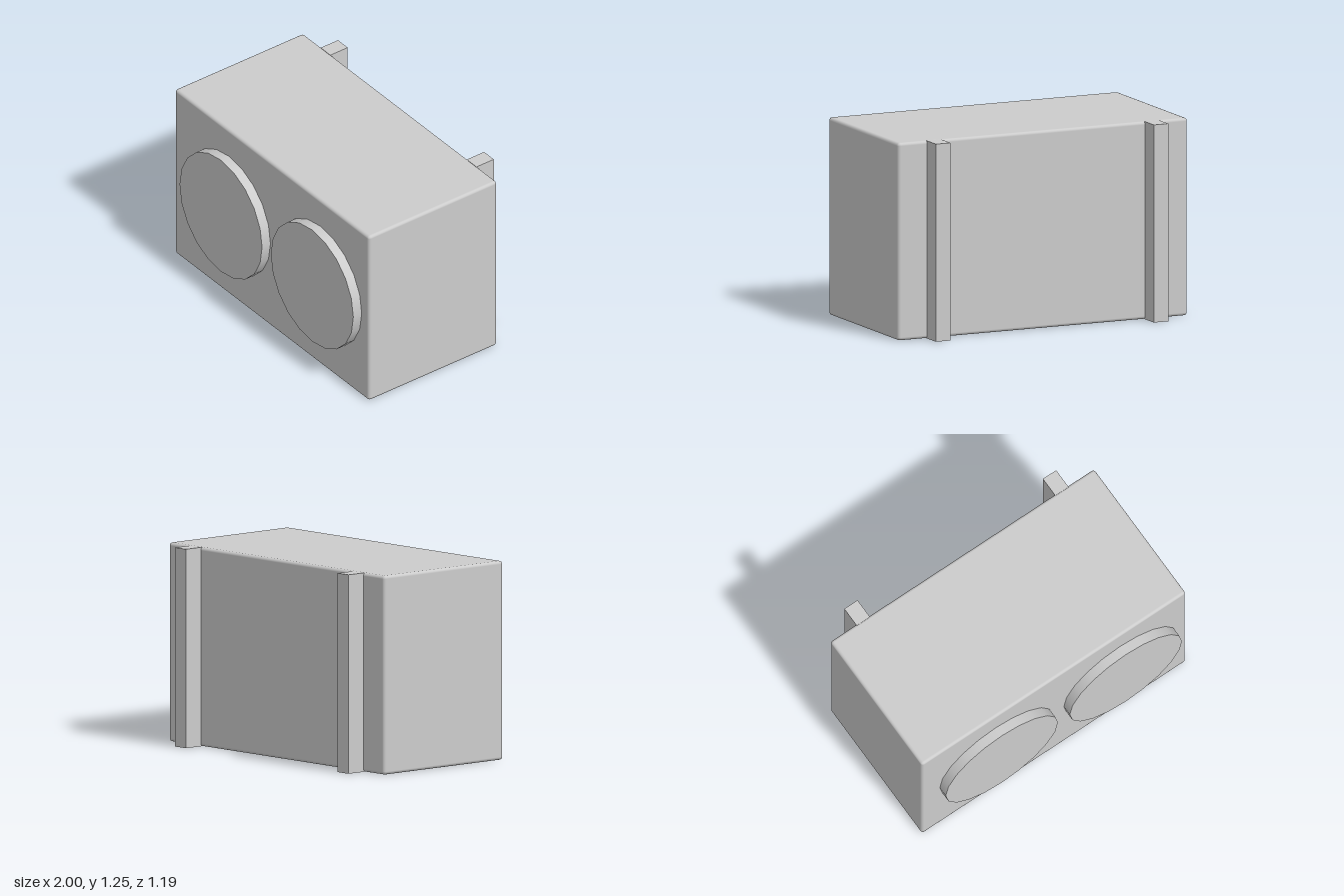
import * as THREE from 'three';
import { RoundedBoxGeometry } from 'three/addons/geometries/RoundedBoxGeometry.js';

export function createModel() {
  const group = new THREE.Group();
  const grey = new THREE.MeshStandardMaterial({ color: 0xcccccc });
  grey.name = 'light grey';

  const add = (name, geometry, x, y, z) => {
    const mesh = new THREE.Mesh(geometry, grey);
    mesh.name = name;
    mesh.position.set(x, y, z);
    group.add(mesh);
  };

  // Main housing with slightly softened edges
  add('housing', new RoundedBoxGeometry(2, 1.25, 1, 2, 0.02), 0, 0.625, 0.03);

  // Two round discs on the front, set a little towards the left
  const disc = new THREE.CylinderGeometry(0.425, 0.425, 0.085, 20).rotateX(Math.PI / 2);
  add('rightDisc', disc, -0.44, 0.627, 0.5525);
  add('leftDisc', disc, 0.5, 0.627, 0.5525);

  // Two upright mounting rails on the back
  const rail = new THREE.BoxGeometry(0.1, 1.25, 0.135);
  add('rightRail', rail, -0.755, 0.625, -0.5275);
  add('leftRail', rail, 0.75, 0.625, -0.5275);

  return group;
}
